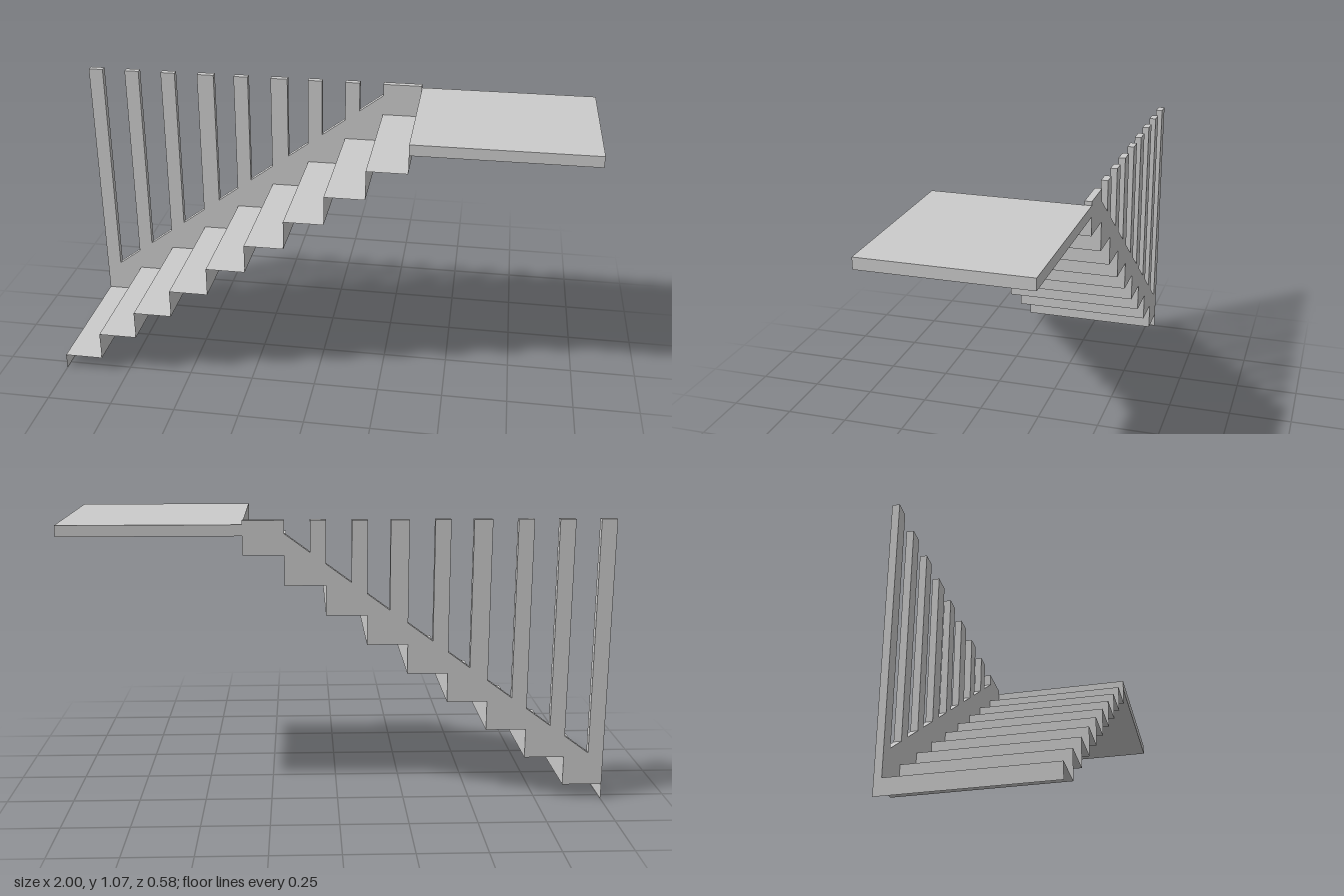
import * as THREE from 'three';

const STEPS = 9, RUN = 0.149, RISE = 0.1106, FIRST = 0.06;
const Z = 0.29, RAIL = 0.026, RAIL_TOP = 1.07;
const stepX = (i) => -1 + RUN * i;
const treadY = (i) => FIRST + RISE * i;
const slopeY = (x) => 0.185 + 0.738 * (x + 0.943);

export function createModel() {
  const group = new THREE.Group();
  const solid = new THREE.MeshStandardMaterial({ color: 0xcccccc, flatShading: true });
  const sheet = new THREE.MeshStandardMaterial({ color: 0xcccccc, flatShading: true, side: THREE.DoubleSide });
  const add = (parent, name, geometry, material, x, y, z) => {
    const mesh = new THREE.Mesh(geometry, material);
    mesh.name = name;
    mesh.position.set(x, y, z);
    parent.add(mesh);
  };

  // Thin folded staircase: one riser and one tread per step, plus a last riser to the landing
  const stairs = new THREE.Group();
  stairs.name = 'stairs';
  for (let i = 0; i <= STEPS; i++) {
    const low = i === 0 ? 0 : treadY(i - 1);
    const high = treadY(i);
    const riser = new THREE.PlaneGeometry(2 * Z, high - low).rotateY(-Math.PI / 2);
    add(stairs, 'riser', riser, sheet, stepX(i), (low + high) / 2, 0);
    if (i < STEPS) {
      const tread = new THREE.PlaneGeometry(RUN, 2 * Z).rotateX(-Math.PI / 2);
      add(stairs, 'tread', tread, sheet, stepX(i) + RUN / 2, high, 0);
    }
  }
  group.add(stairs);

  // Landing slab
  const end = stepX(STEPS);
  add(group, 'landing', new THREE.BoxGeometry(1 - end, 0.041, 2 * Z), solid, (1 + end) / 2, 1.035, 0);

  // Balustrade: stepped underside, sloping rail and upright posts in one outline
  const outline = new THREE.Shape();
  outline.moveTo(stepX(0), treadY(0));
  for (let i = 0; i < STEPS; i++) {
    outline.lineTo(stepX(i + 1), treadY(i));
    if (i < STEPS - 1) outline.lineTo(stepX(i + 1), treadY(i + 1));
  }
  outline.lineTo(end, RAIL_TOP);
  outline.lineTo(stepX(STEPS - 1), RAIL_TOP);
  for (let i = STEPS - 2; i >= 0; i--) {
    const left = stepX(i);
    const right = left + (i === 3 || i === 5 ? 0.067 : 0.057);
    outline.lineTo(stepX(i + 1), slopeY(stepX(i + 1)));
    outline.lineTo(right, slopeY(right));
    outline.lineTo(right, RAIL_TOP);
    outline.lineTo(left, RAIL_TOP);
  }
  outline.closePath();
  const rail = new THREE.ExtrudeGeometry(outline, { depth: RAIL, bevelEnabled: false });
  add(group, 'balustrade', rail, solid, 0, 0, -Z);

  return group;
}
